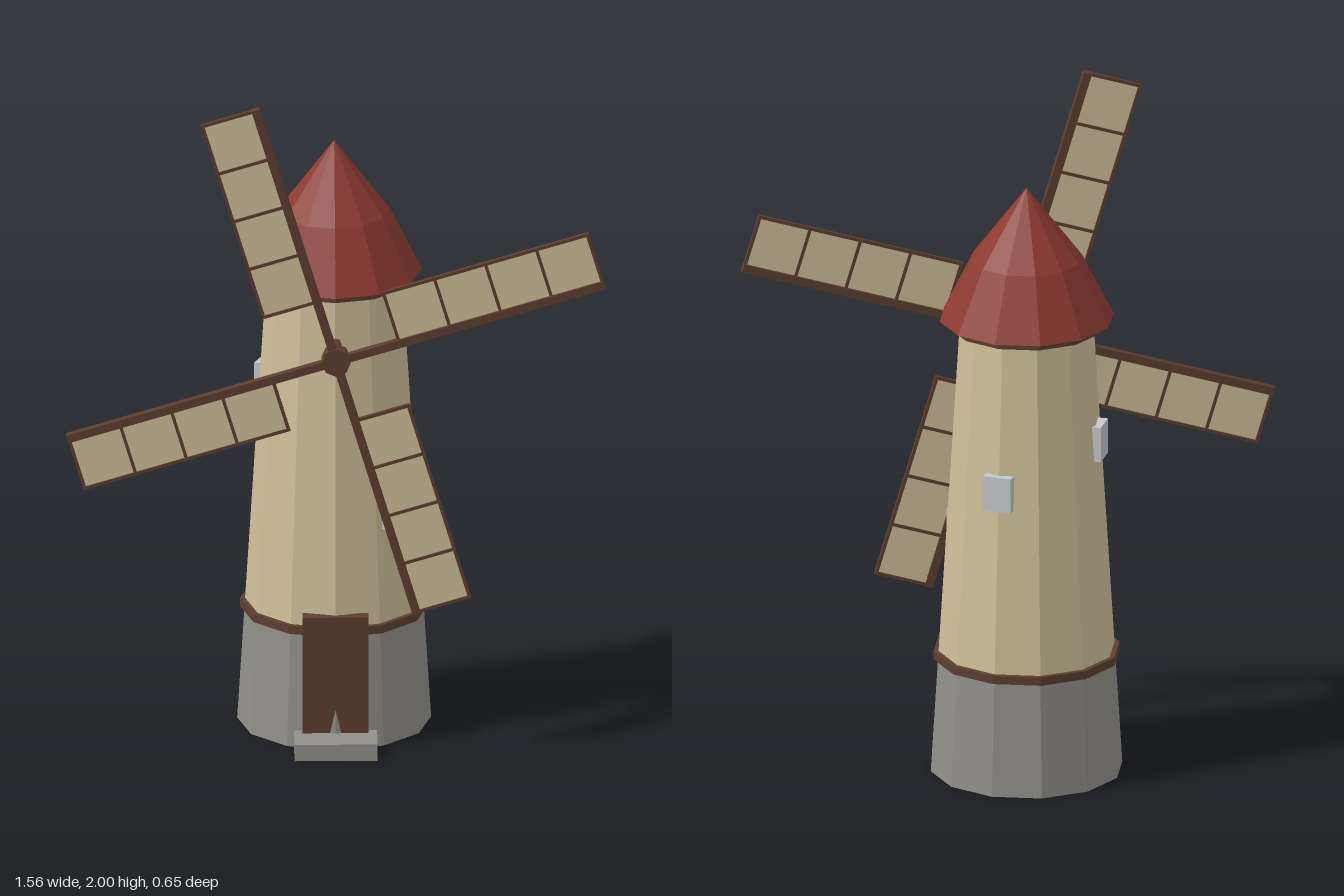
import * as THREE from 'three';

const SIDES = 12;
const AXIS_Z = -0.045; // tower axis
const HUB_Y = 1.22;
const SAIL_Z = 0.297;

function makeMaterial(name, color, doubleSided = false) {
  const m = new THREE.MeshStandardMaterial({ color });
  m.name = name;
  if (doubleSided) m.side = THREE.DoubleSide;
  return m;
}

// Split shared corners so every facet is flat.
function faceted(geometry) {
  const g = geometry.index ? geometry.toNonIndexed() : geometry;
  g.computeVertexNormals();
  return g;
}

function addMesh(parent, name, geometry, material, x = 0, y = 0, z = 0) {
  const mesh = new THREE.Mesh(geometry, material);
  mesh.name = name;
  mesh.position.set(x, y, z);
  parent.add(mesh);
  return mesh;
}

// Twelve-sided turned shape from [radius, y] points, bottom to top.
function turned(points) {
  return faceted(new THREE.LatheGeometry(points.map(([r, y]) => new THREE.Vector2(r, y)), SIDES));
}

const towerRadius = (y) => 0.28 - 0.062 * y;

export function createModel() {
  const wall = makeMaterial('cream plaster and canvas', 0xd0c09a, true);
  const stone = makeMaterial('grey stone', 0x918f89, true);
  const roofRed = makeMaterial('red roof', 0x8e3a31);
  const wood = makeMaterial('dark wood', 0x5c3e2f);
  const shutter = makeMaterial('pale window', 0xc4c6ca);

  const model = new THREE.Group();
  model.name = 'windmill';

  // Tower: one continuous taper, open underneath
  const tower = new THREE.Group();
  tower.name = 'tower';
  tower.position.z = AXIS_Z;
  model.add(tower);
  addMesh(tower, 'stoneBase', turned([[towerRadius(0), 0], [towerRadius(0.355), 0.355]]), stone);
  addMesh(tower, 'towerWall', turned([[towerRadius(0.355), 0.355], [towerRadius(1.37), 1.37]]), wall);
  addMesh(tower, 'lowerBand',
    turned([[0.25, 0.343], [0.272, 0.343], [0.272, 0.368], [0.25, 0.368]]), wood);
  addMesh(tower, 'eaveRing',
    turned([[0.185, 1.355], [0.225, 1.355], [0.225, 1.385], [0.185, 1.385]]), wood);
  addMesh(tower, 'roof', turned([[0, 1.378], [0.254, 1.378], [0.163, 1.56], [0, 1.775]]), roofRed);

  // Windows: [angle from the front towards the left side, height]
  for (const [degrees, y] of [[46, 0.7], [150, 0.912], [247, 1.02]]) {
    const pivot = new THREE.Group();
    pivot.name = 'window';
    pivot.rotation.y = THREE.MathUtils.degToRad(degrees);
    tower.add(pivot);
    addMesh(pivot, 'windowBlock', new THREE.BoxGeometry(0.085, 0.105, 0.04), shutter,
      0, y, towerRadius(y) - 0.005);
  }

  // Entrance
  addMesh(model, 'door', new THREE.BoxGeometry(0.19, 0.365, 0.04), wood, 0, 0.2225, 0.2075);
  addMesh(model, 'doorStep', new THREE.BoxGeometry(0.24, 0.05, 0.12), stone, 0, 0.025, 0.265);

  // Shaft and hub
  const shaft = new THREE.CylinderGeometry(0.018, 0.018, 0.18, 8).rotateX(Math.PI / 2);
  addMesh(model, 'shaft', faceted(shaft), wood, 0, HUB_Y, 0.21);
  const hub = new THREE.CylinderGeometry(0.042, 0.042, 0.05, 8).rotateX(Math.PI / 2);
  addMesh(model, 'hub', faceted(hub), wood, 0, HUB_Y, 0.29);

  // Four sails, each running along local x with its canvas on the +y side
  const rotor = new THREE.Group();
  rotor.name = 'sails';
  rotor.position.set(0, HUB_Y, SAIL_Z);
  rotor.rotation.z = THREE.MathUtils.degToRad(16.7);
  model.add(rotor);
  const inner = 0.187, outer = 0.81, edge = 0.165, cells = 4;
  const length = outer - inner, middle = (outer + inner) / 2;
  for (let i = 0; i < 4; i++) {
    const sail = new THREE.Group();
    sail.name = 'sail';
    sail.rotation.z = i * Math.PI / 2;
    rotor.add(sail);
    addMesh(sail, 'spar', new THREE.BoxGeometry(outer, 0.024, 0.024), wood, outer / 2, 0, 0);
    addMesh(sail, 'canvas', new THREE.BoxGeometry(length - 0.004, edge - 0.004, 0.005), wall,
      middle, edge / 2, 0);
    addMesh(sail, 'outerRail', new THREE.BoxGeometry(length, 0.009, 0.014), wood,
      middle, edge - 0.0045, 0);
    for (let k = 0; k <= cells; k++) {
      const x = inner + 0.0045 + (length - 0.009) * k / cells;
      addMesh(sail, 'rib', new THREE.BoxGeometry(0.009, edge, 0.013), wood, x, edge / 2, 0);
    }
  }
  return model;
}
